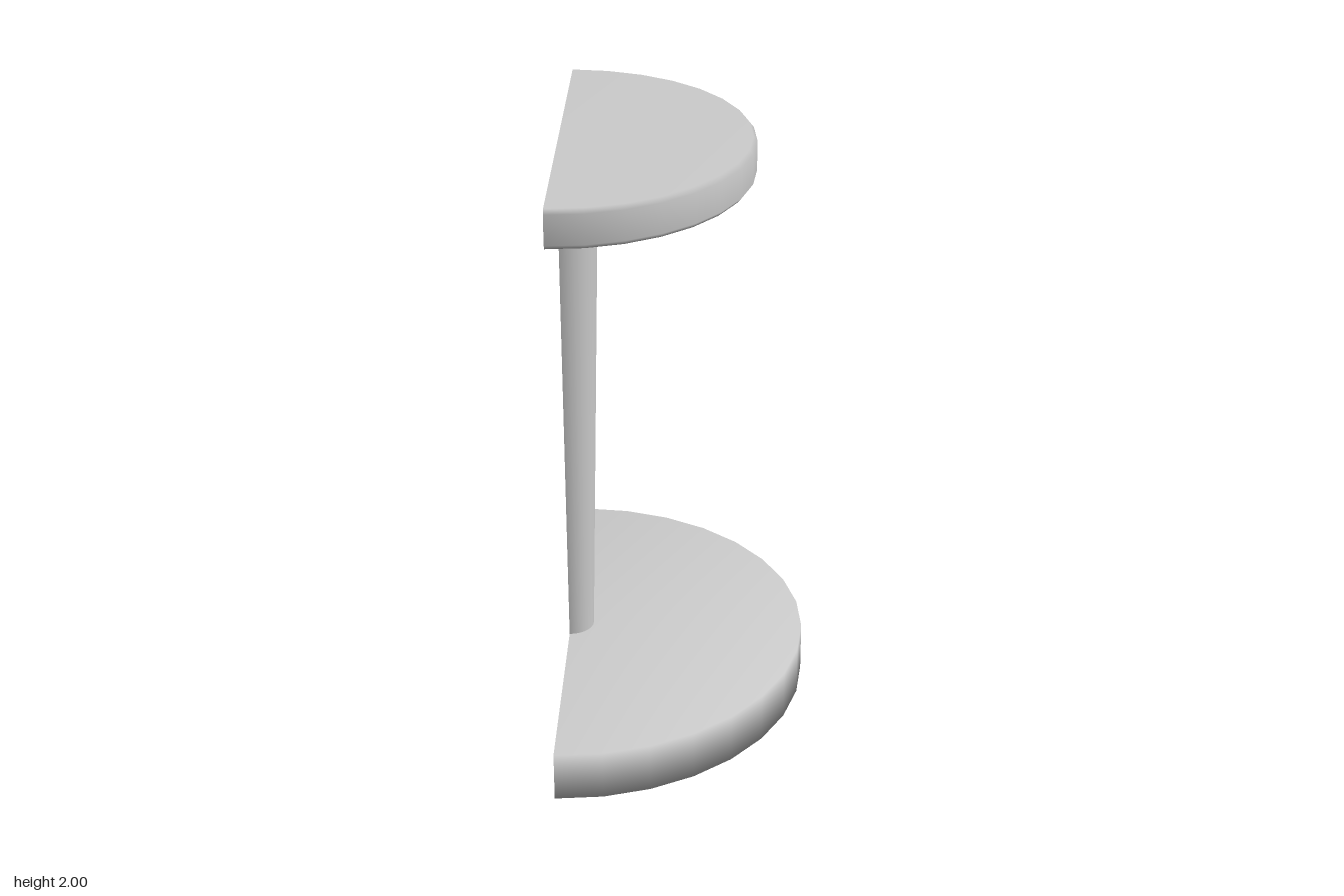
import * as THREE from 'three';

const BACK = -0.405; // plane of the flat back
const SIDES = 16;    // segments around the half circle

// A half-turned solid: half lathe closed by a flat panel at the back.
// The profile runs from bottom to top as [radius, y].
function halfTurned(name, profile, material) {
  const group = new THREE.Group();
  group.name = name;

  const points = profile.map(([r, y]) => new THREE.Vector2(r, y));
  const round = new THREE.Mesh(new THREE.LatheGeometry(points, SIDES, 0, Math.PI), material);
  round.name = name + 'Round';

  const outline = [
    ...points,
    ...points.slice().reverse().map((p) => new THREE.Vector2(-p.x, p.y)),
  ].filter((p, i, all) => i === 0 || !p.equals(all[i - 1]));
  if (outline[0].equals(outline[outline.length - 1])) outline.pop();
  const panel = new THREE.ShapeGeometry(new THREE.Shape(outline));
  panel.rotateY(-Math.PI / 2);
  const back = new THREE.Mesh(panel, material);
  back.name = name + 'Back';

  group.add(round, back);
  group.position.x = BACK;
  return group;
}

export function createModel() {
  const material = new THREE.MeshStandardMaterial({ color: 0xcccccc });
  const model = new THREE.Group();
  model.name = 'halfRoundTable';

  // Heavy half-round foot
  model.add(halfTurned('base', [[0, 0.005], [0.81, 0.005], [0.81, 0.175], [0, 0.175]], material));

  // Tapered half-round column, flaring under the top
  model.add(halfTurned('column', [[0.08, 0.175], [0.121, 1.83], [0.16, 1.87]], material));

  // Table top with small chamfers on both rims
  model.add(halfTurned('tableTop', [
    [0, 1.87], [0.62, 1.87], [0.632, 1.885], [0.632, 1.985], [0.62, 2], [0, 2],
  ], material));

  return model;
}
